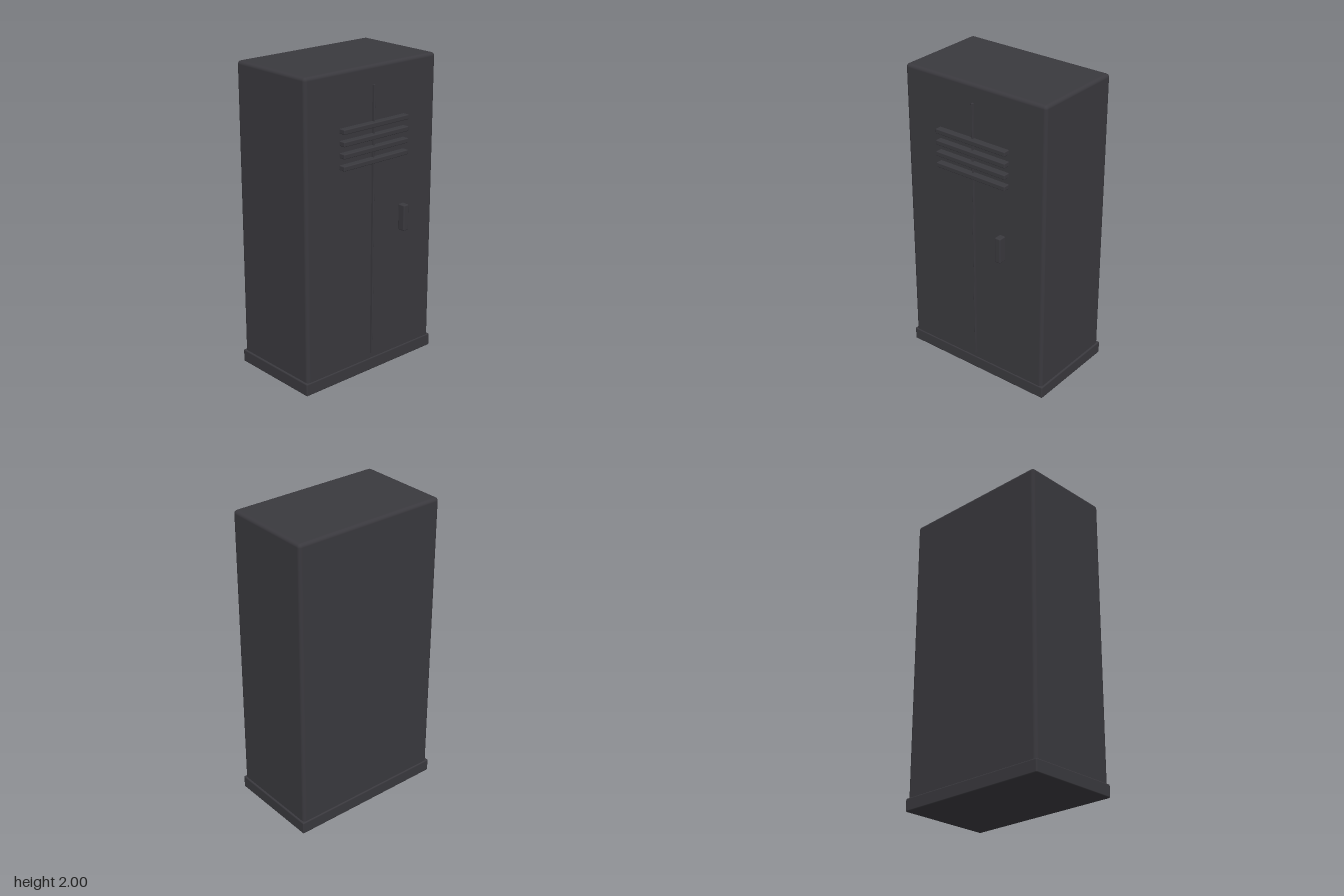
import * as THREE from 'three';
import { RoundedBoxGeometry } from 'three/addons/geometries/RoundedBoxGeometry.js';

export function createModel() {
  const group = new THREE.Group();
  group.name = 'locker';
  const paint = new THREE.MeshStandardMaterial({ color: 0x3a393e });
  paint.name = 'charcoal paint';

  // Rounded box given by its low and high corners
  function box(name, [x0, y0, z0], [x1, y1, z1], radius) {
    const geometry = new RoundedBoxGeometry(x1 - x0, y1 - y0, z1 - z0, 3, radius);
    const mesh = new THREE.Mesh(geometry, paint);
    mesh.position.set((x0 + x1) / 2, (y0 + y1) / 2, (z0 + z1) / 2);
    mesh.name = name;
    group.add(mesh);
  }

  // Cabinet and plinth
  box('cabinet', [-0.526, 0.04, -0.345], [0.526, 2, 0.284], 0.022);
  box('plinth', [-0.537, 0, -0.353], [0.537, 0.084, 0.289], 0.008);

  // Raised seam between the doors
  box('doorSeam', [-0.005, 0.122, 0.27], [0.005, 1.884, 0.301], 0.002);

  // Vent slats
  for (let i = 0; i < 4; i++) {
    const y = 1.422 + i * 0.0745;
    box('ventSlat' + (i + 1), [-0.263, y - 0.015, 0.275], [0.263, y + 0.015, 0.326], 0.005);
  }

  // Door handle
  box('handle', [0.21, 0.92, 0.3], [0.252, 1.09, 0.353], 0.007);

  return group;
}
